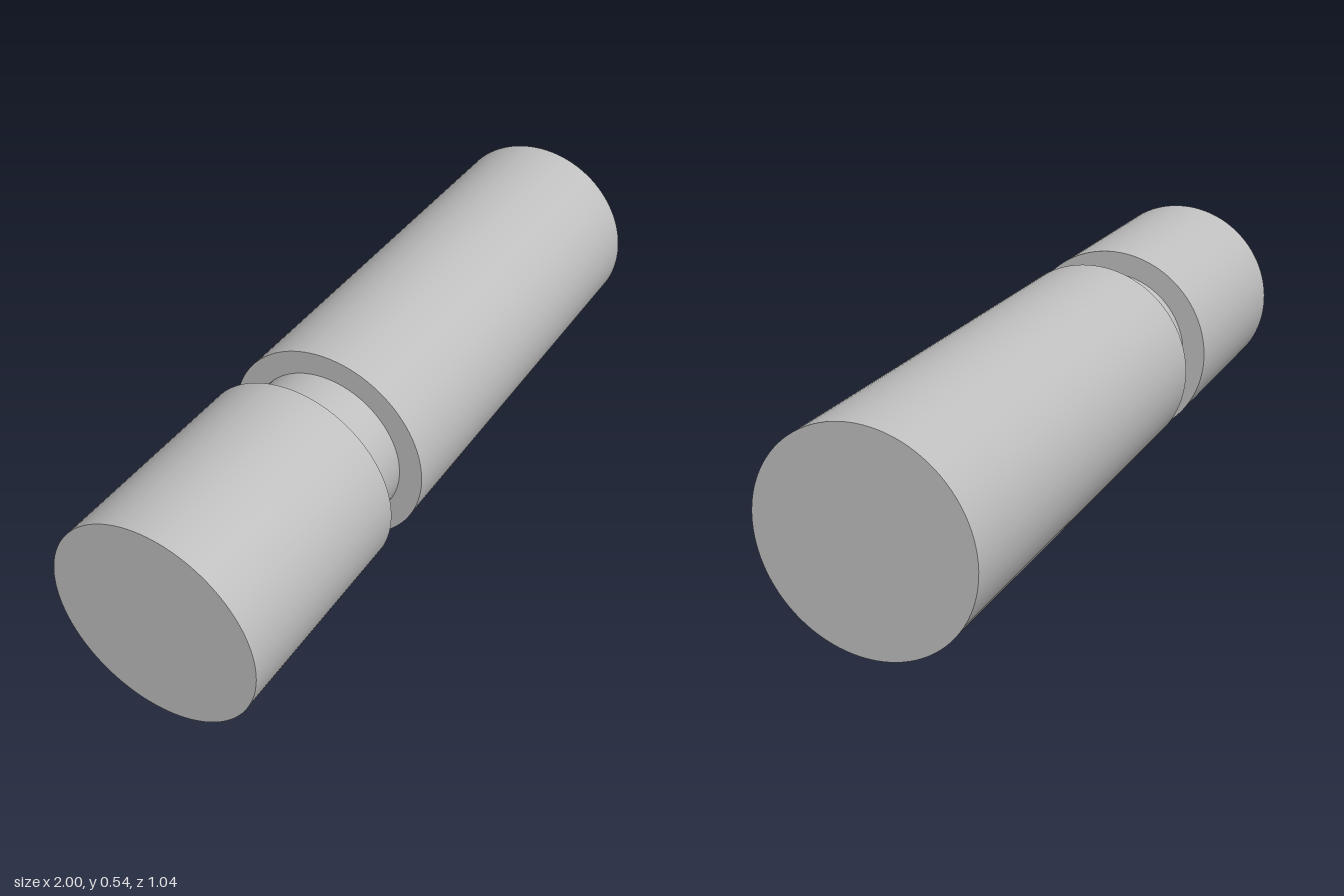
import * as THREE from 'three';

export function createModel() {
  const model = new THREE.Group();
  model.name = 'groovedPin';

  const steel = new THREE.MeshStandardMaterial({ color: 0xc0c0c0 });
  steel.name = 'light grey';

  const length = 1.925, radius = 0.272, neckRadius = 0.21;
  const headEnd = -length / 2 + 0.567;       // where the short head meets the groove
  const shaftStart = length / 2 - 1.211;     // where the long shaft begins

  // The pin lies along its own x axis, then the whole pin is turned about y
  const pin = new THREE.Group();
  pin.name = 'pin';
  pin.position.y = radius;
  pin.rotation.y = Math.atan2(0.521, 1.853);
  model.add(pin);

  // Cylinder along x from one position to another
  function section(name, r, from, to, open = false) {
    const geometry = new THREE.CylinderGeometry(r, r, to - from, 96, 1, open);
    geometry.rotateZ(-Math.PI / 2);
    const mesh = new THREE.Mesh(geometry, steel);
    mesh.name = name;
    mesh.position.x = (from + to) / 2;
    pin.add(mesh);
  }

  section('head', radius, -length / 2, headEnd);
  section('neck', neckRadius, headEnd, shaftStart, true);
  section('shaft', radius, shaftStart, length / 2);

  return model;
}
